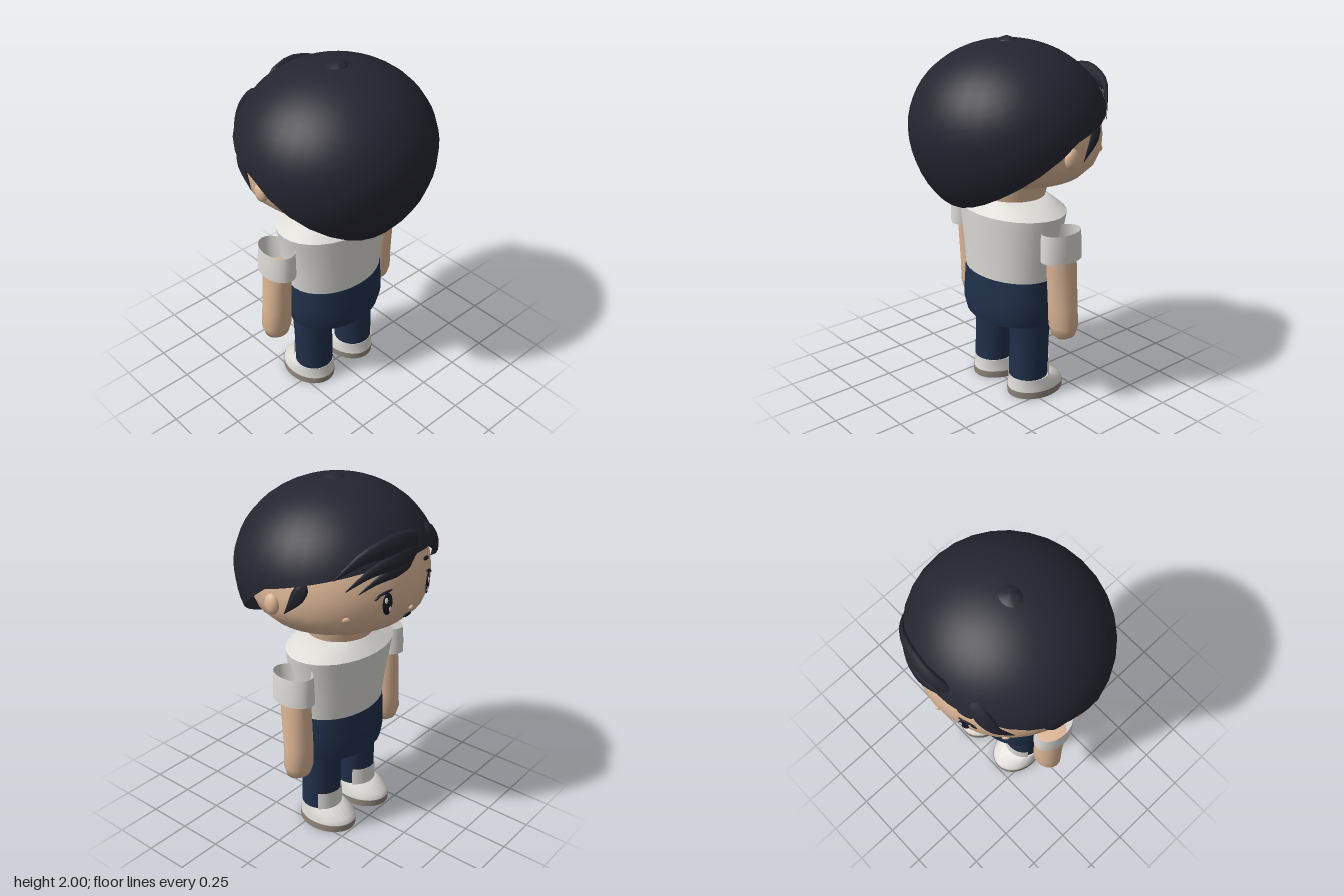
import * as THREE from 'three';
import { toCreasedNormals } from 'three/addons/utils/BufferGeometryUtils.js';

const mat = (name, color, side = THREE.FrontSide) => {
  const m = new THREE.MeshStandardMaterial({ color, side });
  m.name = name;
  return m;
};

// Skin of stacked rings, bottom to top; ring(i, a) gives the point at angle a
function ringSkin(rows, segs, ring, crease) {
  const pos = [], idx = [];
  for (let i = 0; i < rows; i++) {
    for (let j = 0; j < segs; j++) {
      pos.push(...ring(i, (j / segs) * Math.PI * 2));
      if (i === rows - 1) continue;
      const a = i * segs + j, b = i * segs + ((j + 1) % segs);
      idx.push(a, b, b + segs, a, b + segs, a + segs);
    }
  }
  const g = new THREE.BufferGeometry();
  g.setAttribute('position', new THREE.Float32BufferAttribute(pos, 3));
  g.setIndex(idx);
  g.computeVertexNormals();
  return toCreasedNormals(g, crease);
}

// Ellipse sections: [y, centre x, centre z, radius x, radius z]
const loft = (s, segs = 28, crease = 0.75) => ringSkin(s.length, segs, (i, a) => {
  const [y, cx, cz, rx, rz] = s[i];
  return [cx + rx * Math.sin(a), y, cz + rz * Math.cos(a)];
}, crease);

// Flattened, tapered lock of hair that follows a path round the head
function lock(points, width, flat = 0.45) {
  const curve = new THREE.CatmullRomCurve3(points.map((p) => new THREE.Vector3(...p)));
  const n = 12, radial = 8;
  const g = new THREE.TubeGeometry(curve, n, 1, radial);
  const p = g.attributes.position, v = new THREE.Vector3();
  for (let i = 0; i <= n; i++) {
    const t = i / n, c = curve.getPointAt(t);
    const out = new THREE.Vector3(c.x, 0, c.z).normalize();
    const w = width * Math.min(1, 0.05 + 5 * t, 0.04 + 1.7 * (1 - t));
    for (let j = 0; j <= radial; j++) {
      const k = i * (radial + 1) + j;
      v.fromBufferAttribute(p, k).sub(c);
      v.addScaledVector(out, (flat - 1) * v.dot(out)).multiplyScalar(w).add(c);
      p.setXYZ(k, v.x, v.y, v.z);
    }
  }
  g.computeVertexNormals();
  return g;
}

// Head profile: [y, depth radius]
const HEAD = [[1.13, 0.17], [1.235, 0.195], [1.255, 0.27], [1.29, 0.37], [1.35, 0.43], [1.42, 0.458],
  [1.5, 0.462], [1.58, 0.453], [1.68, 0.42], [1.78, 0.35], [1.86, 0.22], [1.88, 0]];
const HEAD_Z = -0.03, HEAD_WIDE = 1.06;
function headRadius(y) {
  const i = HEAD.findIndex((h) => h[0] > y);
  const [a, b] = [HEAD[i - 1], HEAD[i]];
  return a[1] + ((b[1] - a[1]) * (y - a[0])) / (b[0] - a[0]);
}

export function createModel() {
  const model = new THREE.Group();
  const skin = mat('skin', 0xddb797);
  const hair = mat('dark hair', 0x252531, THREE.DoubleSide);
  const shirt = mat('white cloth', 0xdddcd7, THREE.DoubleSide);
  const navy = mat('navy cloth', 0x20304a);
  const sole = mat('sole', 0x91867c);
  const ink = mat('eye black', 0x1a1b26);
  const white = mat('eye white', 0xf2f2f2);
  const add = (name, geometry, material, parent = model) => {
    const m = new THREE.Mesh(geometry, material);
    m.name = name;
    parent.add(m);
    return m;
  };

  // Head and neck
  add('head', loft(HEAD.map(([y, r]) => [y, 0, HEAD_Z, r * HEAD_WIDE, r]), 36, 0.9), skin);

  // Hair cap: squashed dome with a hem that rises from nape to forehead
  const rows = 18;
  add('hairCap', ringSkin(rows + 1, 32, (i, a) => {
    const c = Math.cos(a);
    const hem = 1.545 - (c > 0 ? 0.385 : 0.135) * c - 1.53;
    const phi = Math.acos(hem / (hem > 0 ? 0.45 : 0.53)) * (1 - i / rows);
    const up = Math.cos(phi), r = 0.54 * Math.sin(phi);
    return [r * Math.sin(a), 1.53 + up * (up > 0 ? 0.45 : 0.53), r * c * 0.965];
  }, 1), hair);
  add('crownTuft', loft([[1.955, 0, 0, 0.11, 0.07], [1.98, 0, 0.01, 0.055, 0.05], [2, 0, 0.01, 0, 0]], 16), hair);

  // Fringe swept to the sides
  const fringe = [
    [[[-0.13, 1.69, -0.42], [0.07, 1.755, -0.47], [0.28, 1.74, -0.42], [0.41, 1.63, -0.32]], 0.065],
    [[[-0.06, 1.69, -0.48], [0.12, 1.69, -0.485], [0.27, 1.65, -0.43], [0.37, 1.57, -0.36]], 0.045],
    [[[-0.02, 1.66, -0.48], [0.12, 1.64, -0.485], [0.24, 1.6, -0.44], [0.32, 1.55, -0.4]], 0.035],
    [[[-0.15, 1.75, -0.39], [-0.25, 1.69, -0.41], [-0.32, 1.61, -0.4], [-0.39, 1.52, -0.33]], 0.055],
  ];
  for (const [path, width] of fringe) add('fringeLock', lock(path, width), hair);

  // Small flattened features that sit on the face
  function onFace(name, x, y, w, h, depth, material, tilt = 0, lift = 0) {
    const r = headRadius(y);
    const z = -Math.sqrt(r * r - (x / HEAD_WIDE) ** 2);
    const slope = (headRadius(y + 0.02) - headRadius(y - 0.02)) / 0.04;
    const n = new THREE.Vector3(x / r, -slope, z / r).normalize();
    const m = add(name, new THREE.SphereGeometry(1, 16, 10), material);
    m.scale.set(w, h, depth);
    m.position.set(x, y, z + HEAD_Z).addScaledVector(n, lift);
    m.lookAt(m.position.clone().add(n));
    m.rotateZ(tilt);
  }
  onFace('nose', 0, 1.4, 0.016, 0.014, 0.016, skin);
  onFace('mouth', 0, 1.353, 0.032, 0.013, 0.008, ink);

  for (const s of [1, -1]) {
    // Eyes, lashes, brows and cheeks
    onFace('eye', s * 0.17, 1.47, 0.028, 0.06, 0.008, ink);
    onFace('eyeGlint', s * 0.17 + 0.01, 1.492, 0.009, 0.016, 0.004, white, 0, 0.006);
    onFace('eyeWhite', s * 0.17 - s * 0.012, 1.445, 0.008, 0.018, 0.004, white, 0, 0.005);
    onFace('upperLash', s * 0.185, 1.53, 0.045, 0.007, 0.007, ink, s * 0.25);
    onFace('sideLash', s * 0.222, 1.512, 0.02, 0.006, 0.007, ink, s * 0.6);
    onFace('brow', s * 0.17, 1.6, 0.042, 0.011, 0.008, ink, s * 0.2);
    onFace('cheek', s * 0.345, 1.41, 0.021, 0.016, 0.01, skin);

    // Ears and sideburns
    const ear = add('ear', new THREE.SphereGeometry(1, 14, 10), skin);
    ear.scale.set(0.03, 0.055, 0.042);
    ear.position.set(s * 0.492, 1.45, 0);
    add('sideburn', lock([[s * 0.465, 1.61, -0.2], [s * 0.485, 1.53, -0.16], [s * 0.495, 1.42, -0.08]], 0.038), hair);

    // Arms
    const x = s * 0.385;
    add('arm', loft([[0.405, s * 0.39, -0.06, 0, 0], [0.41, s * 0.39, -0.06, 0.03, 0.03],
      [0.435, s * 0.39, -0.062, 0.07, 0.06], [0.49, s * 0.39, -0.063, 0.087, 0.075],
      [0.6, s * 0.387, -0.06, 0.083, 0.078], [0.9, x, -0.043, 0.073, 0.086], [0.91, x, -0.043, 0, 0]], 20, 0.9), skin);

    // Sleeve cuffs, open at the top
    add('sleeve', loft([[0.885, x, -0.04, 0.07, 0.08], [0.88, s * 0.39, -0.038, 0.085, 0.125],
      [0.95, s * 0.39, -0.037, 0.084, 0.124], [1.035, s * 0.388, -0.035, 0.08, 0.12]], 24), shirt);

    // Legs
    const lx = s * 0.155;
    add('leg', loft([[0.1, lx, -0.02, 0.11, 0.11], [0.33, lx, -0.025, 0.113, 0.106],
      [0.45, s * 0.158, -0.02, 0.118, 0.12], [0.55, s * 0.15, -0.02, 0.118, 0.13]], 24), navy);

    // Shoes with soles and front tongues
    add('sole', loft([[0, lx, -0.07, 0, 0], [0, lx, -0.07, 0.134, 0.172],
      [0.04, lx, -0.07, 0.134, 0.174], [0.04, lx, -0.07, 0, 0]]), sole);
    add('shoe', loft([[0.038, lx, -0.07, 0.132, 0.172], [0.065, lx, -0.068, 0.128, 0.163],
      [0.112, lx, -0.025, 0.115, 0.117], [0.114, lx, -0.025, 0, 0]]), shirt);
    const tongue = add('shoeTongue',
      new THREE.CylinderGeometry(0.116, 0.118, 0.11, 14, 1, true, Math.PI - 1.05, 2.1), shirt);
    tongue.position.set(lx, 0.16, -0.022);
  }

  // Shirt
  add('shirt', loft([[0.715, 0, -0.015, 0.292, 0.214], [0.85, 0, -0.02, 0.305, 0.225],
    [1.04, 0, -0.028, 0.338, 0.246], [1.08, 0, -0.03, 0.345, 0.25],
    [1.115, 0, -0.03, 0.28, 0.21], [1.148, 0, -0.03, 0.2, 0.172], [1.148, 0, -0.03, 0.15, 0.13]], 32, 0.6), shirt);

  // Shorts
  add('shorts', loft([[0.46, 0, -0.015, 0, 0], [0.455, 0, -0.015, 0.285, 0.215], [0.52, 0, -0.013, 0.302, 0.227],
    [0.6, 0, -0.014, 0.3, 0.224], [0.718, 0, -0.015, 0.294, 0.216], [0.718, 0, -0.015, 0.2, 0.15]], 32), navy);

  return model;
}
